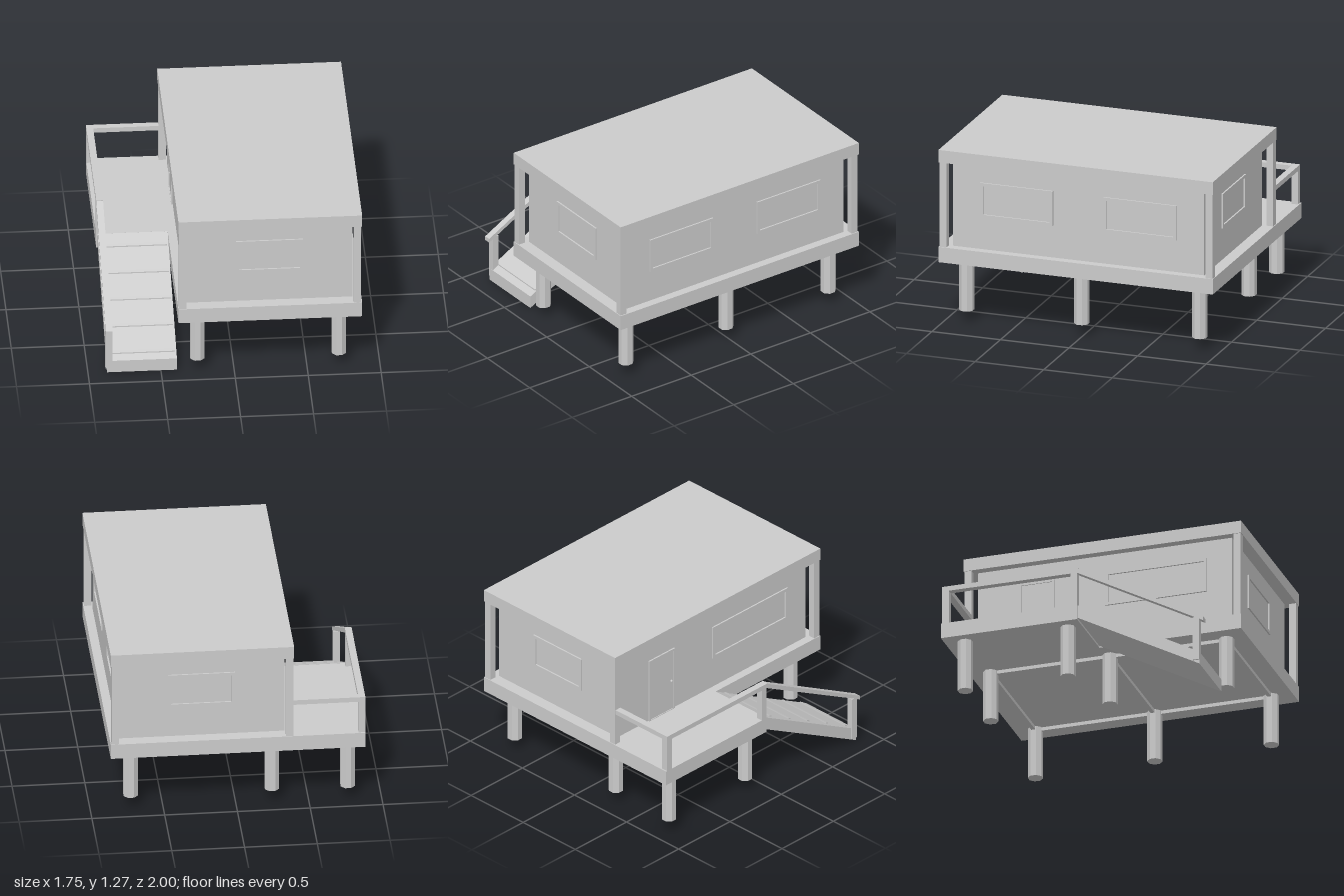
import * as THREE from 'three';

export function createModel() {
  const model = new THREE.Group();
  model.name = 'stiltCabin';
  const mat = new THREE.MeshStandardMaterial({ color: 0xcccccc, flatShading: true });

  const add = (name, geo, parent = model) => {
    const mesh = new THREE.Mesh(geo, mat);
    mesh.name = name;
    parent.add(mesh);
    return mesh;
  };
  // Box given by its limits on each axis
  const box = (name, [x0, x1], [y0, y1], [z0, z1], parent) => {
    const geo = new THREE.BoxGeometry(x1 - x0, y1 - y0, z1 - z0);
    geo.translate((x0 + x1) / 2, (y0 + y1) / 2, (z0 + z1) / 2);
    return add(name, geo, parent);
  };
  // Side profile of [z, y] points, extruded from x0 to x1
  const sideProfile = (name, points, x0, x1) => {
    const shape = new THREE.Shape(points.map(([z, y]) => new THREE.Vector2(z, y)));
    const geo = new THREE.ExtrudeGeometry(shape, { depth: x1 - x0, bevelEnabled: false });
    geo.rotateY(-Math.PI / 2);
    geo.translate(x1, 0, 0);
    return add(name, geo);
  };

  // Main volumes
  box('floor', [-0.39, 0.87], [0.46, 0.57], [-1, 1]);
  box('deck', [-0.88, -0.39], [0.46, 0.57], [-1, -0.02]);
  box('walls', [-0.33, 0.81], [0.57, 1.18], [-0.915, 0.915]);
  box('roof', [-0.39, 0.87], [1.18, 1.27], [-1, 1]);

  // Corner posts holding the roof
  for (const x of [-0.36, 0.838])
    for (const z of [-0.97, 0.97])
      box('cornerPost', [x - 0.025, x + 0.025], [0.57, 1.18], [z - 0.025, z + 0.025]);

  // Legs and the beams between them
  const leg = (x, z) => {
    const geo = new THREE.CylinderGeometry(0.053, 0.053, 0.37, 8);
    geo.rotateY(Math.PI / 8);
    geo.translate(x, 0.275, z);
    add('leg', geo);
  };
  const b = 0.014;
  for (const x of [-0.25, 0.72]) {
    for (const z of [-0.85, 0.01, 0.85]) leg(x, z);
    box('longBeam', [x - b, x + b], [0.435, 0.46], [-0.85, 0.85]);
  }
  for (const z of [-0.85, 0.01, 0.85])
    box('crossBeam', [-0.25, 0.72], [0.435, 0.46], [z - b, z + b]);
  for (const z of [-0.86, -0.12]) leg(-0.77, z);

  // Flat frame with an opening, drawn in the xy plane and facing +z
  const frame = (name, w, h, rim, depth, openBottom = false) => {
    const rect = (C, hw, y0, y1) => new C([[-hw, y0], [hw, y0], [hw, y1], [-hw, y1]]
      .map(([x, y]) => new THREE.Vector2(x, y)));
    const shape = rect(THREE.Shape, w / 2, -h / 2, h / 2);
    shape.holes.push(rect(THREE.Path, w / 2 - rim, -h / 2 + (openBottom ? 0.005 : rim), h / 2 - rim));
    return add(name, new THREE.ExtrudeGeometry(shape, { depth, bevelEnabled: false }));
  };
  const windowFrame = (x, z, w, turn) => {
    const f = frame('windowFrame', w, 0.25, 0.022, 0.011);
    f.position.set(x, 0.925, z);
    f.rotation.y = turn;
  };
  windowFrame(0.24, 0.915, 0.46, 0);
  windowFrame(0.24, -0.915, 0.46, Math.PI);
  for (const z of [-0.45, 0.45]) windowFrame(0.81, z, 0.53, Math.PI / 2);
  windowFrame(-0.33, 0.37, 0.73, -Math.PI / 2);

  // Door with frame and knob, opening on the deck
  const doorFrame = frame('doorFrame', 0.25, 0.48, 0.015, 0.011, true);
  doorFrame.position.set(-0.33, 0.81, -0.49);
  doorFrame.rotation.y = -Math.PI / 2;
  box('door', [-0.335, -0.325], [0.575, 1.035], [-0.6, -0.38]);
  const knob = new THREE.SphereGeometry(0.01, 8, 6);
  knob.translate(-0.342, 0.8, -0.4);
  add('doorKnob', knob);

  // Sloping ramp with cleats across it
  const slope = 0.545;
  const rampTop = z => 0.09 + (0.86 - z) * slope;
  sideProfile('ramp', [[0.86, 0], [0.86, 0.09], [-0.02, rampTop(-0.02)], [-0.02, 0.475]], -0.87, -0.39);
  for (let i = 0; i < 5; i++) {
    const z = 0.065 + i * 0.184;
    const y = rampTop(z);
    sideProfile('rampCleat', [[z - 0.01, y - 0.005], [z + 0.012, y - 0.015], [z + 0.012, y + 0.002],
      [z - 0.008, y + 0.012]], -0.83, -0.4);
  }

  // Railing of the deck
  const railX = [-0.88, -0.833];
  const railY = [0.81, 0.845];
  box('backRail', [-0.88, -0.385], railY, [-0.99, -0.943]);
  box('sideRail', railX, railY, [-0.99, -0.01]);
  box('backRailPost', railX, [0.57, 0.81], [-0.99, -0.943]);
  box('frontRailPost', railX, [0.57, 0.81], [-0.067, -0.02]);

  // Handrail following the ramp
  sideProfile('handrail', [[0.89, 0.318], [0.89, 0.347], [-0.02, 0.845], [-0.02, 0.81]], ...railX);
  box('handrailPost', railX, [0.03, 0.35], [0.812, 0.859]);

  return model;
}
